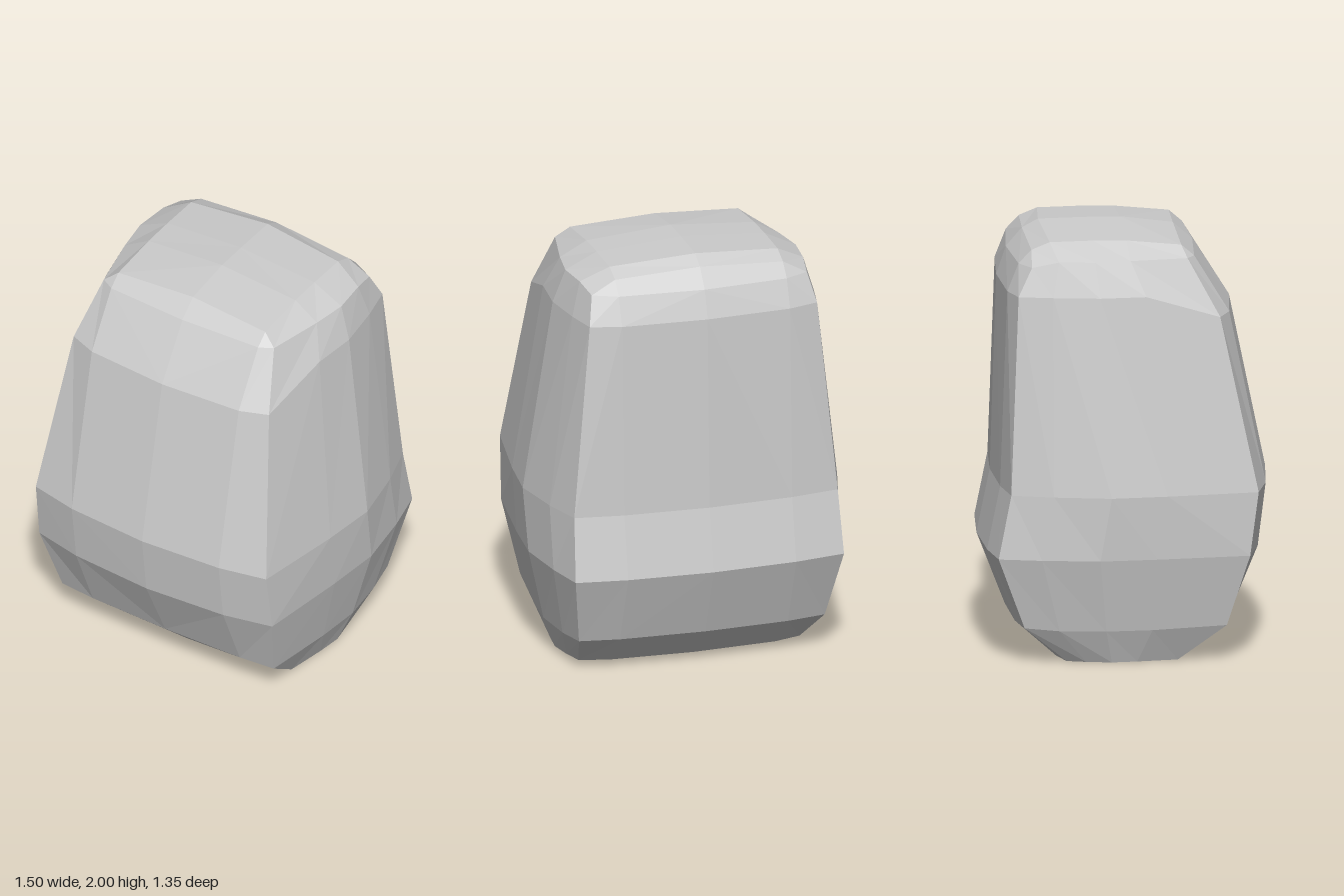
import * as THREE from 'three';

// Half ring from front centre, round the left side, to back centre.
// yF, yS, yB: heights of front, side, back; xF, xM, xB: half widths at front corner, middle, back corner
// zF, zFC, zBC, zB: depths at front centre, front corner, back corner, back centre
function halfRing([yF, yS, yB, xF, xM, xB, zF, zFC, zBC, zB]) {
  const bow = 0.35;
  const side = (t, k, base) => [base + (xM - base) * k, yS, zFC + (zBC - zFC) * t];
  return [
    [0, yF, zF],
    [0.41, yF, zF + (zFC - zF) * bow],
    [xF, yF, zFC],
    side(0.37, 0.7, xF),
    side(0.6, 1, xF),
    side(0.83, 0.55, xB),
    [xB, yB, zBC],
    [0.41, yB, zB + (zBC - zB) * bow],
    [0, yB, zB],
  ];
}

// Mirror a half ring into a closed ring
function fullRing(half) {
  return [...half, ...half.slice(1, 8).reverse().map(([x, y, z]) => [-x, y, z])];
}

function createBodyGeometry() {
  const rings = [
    [0, 0, 0, 0.54, 0.59, 0.54, 0.30, 0.23, -0.29, -0.35],
    [0.17, 0.16, 0.17, 0.59, 0.655, 0.6, 0.48, 0.455, -0.49, -0.54],
    [0.51, 0.51, 0.51, 0.65, 0.738, 0.655, 0.64, 0.56, -0.615, -0.672],
    [0.81, 0.81, 0.81, 0.643, 0.75, 0.643, 0.676, 0.6, -0.555, -0.61],
    [1.625, 1.735, 1.735, 0.545, 0.618, 0.555, 0.507, 0.428, -0.515, -0.58],
    [1.893, 1.895, 1.867, 0.475, 0.562, 0.525, 0.335, 0.28, -0.45, -0.535],
  ].map(halfRing);

  // Domed top: five rows across, given at the edge (x = 0.41) and on the centre line
  const edge = [[0.41, 1.945, 0.255], [0.41, 1.968, 0], [0.41, 1.97, -0.16], [0.41, 1.965, -0.36], [0.41, 1.93, -0.445]];
  const mid = [[0, 1.97, 0.245], [0, 2, 0], [0, 2, -0.16], [0, 1.995, -0.385], [0, 1.955, -0.46]];
  const [a, b, c, d, e] = edge;
  rings.push([mid[0], a, a, b, c, d, e, e, mid[4]]);
  const [m, n, o, p, q] = mid;
  rings.push([m, m, m, n, o, p, q, q, q]);

  const loops = rings.map(fullRing);
  const positions = [];
  const same = (u, v) => u.every((k, i) => Math.abs(k - v[i]) < 1e-6);
  const tri = (u, v, w) => {
    if (!same(u, v) && !same(v, w) && !same(u, w)) positions.push(...u, ...v, ...w);
  };

  // Walls and top
  for (let r = 0; r < loops.length - 1; r++) {
    const lo = loops[r], hi = loops[r + 1];
    for (let i = 0; i < 16; i++) {
      const j = (i + 1) % 16;
      if (i < 8) {
        tri(lo[i], lo[j], hi[j]);
        tri(lo[i], hi[j], hi[i]);
      } else {
        tri(lo[i], lo[j], hi[i]);
        tri(lo[j], hi[j], hi[i]);
      }
    }
  }
  // Flat base
  for (let i = 0; i < 16; i++) tri([0, 0, -0.03], loops[0][(i + 1) % 16], loops[0][i]);

  const geometry = new THREE.BufferGeometry();
  geometry.setAttribute('position', new THREE.Float32BufferAttribute(positions, 3));
  geometry.computeVertexNormals();
  return geometry;
}

export function createModel() {
  const group = new THREE.Group();
  const material = new THREE.MeshStandardMaterial({ color: 0xcccccc, flatShading: true });
  const body = new THREE.Mesh(createBodyGeometry(), material);
  body.name = 'body';
  group.add(body);
  return group;
}
